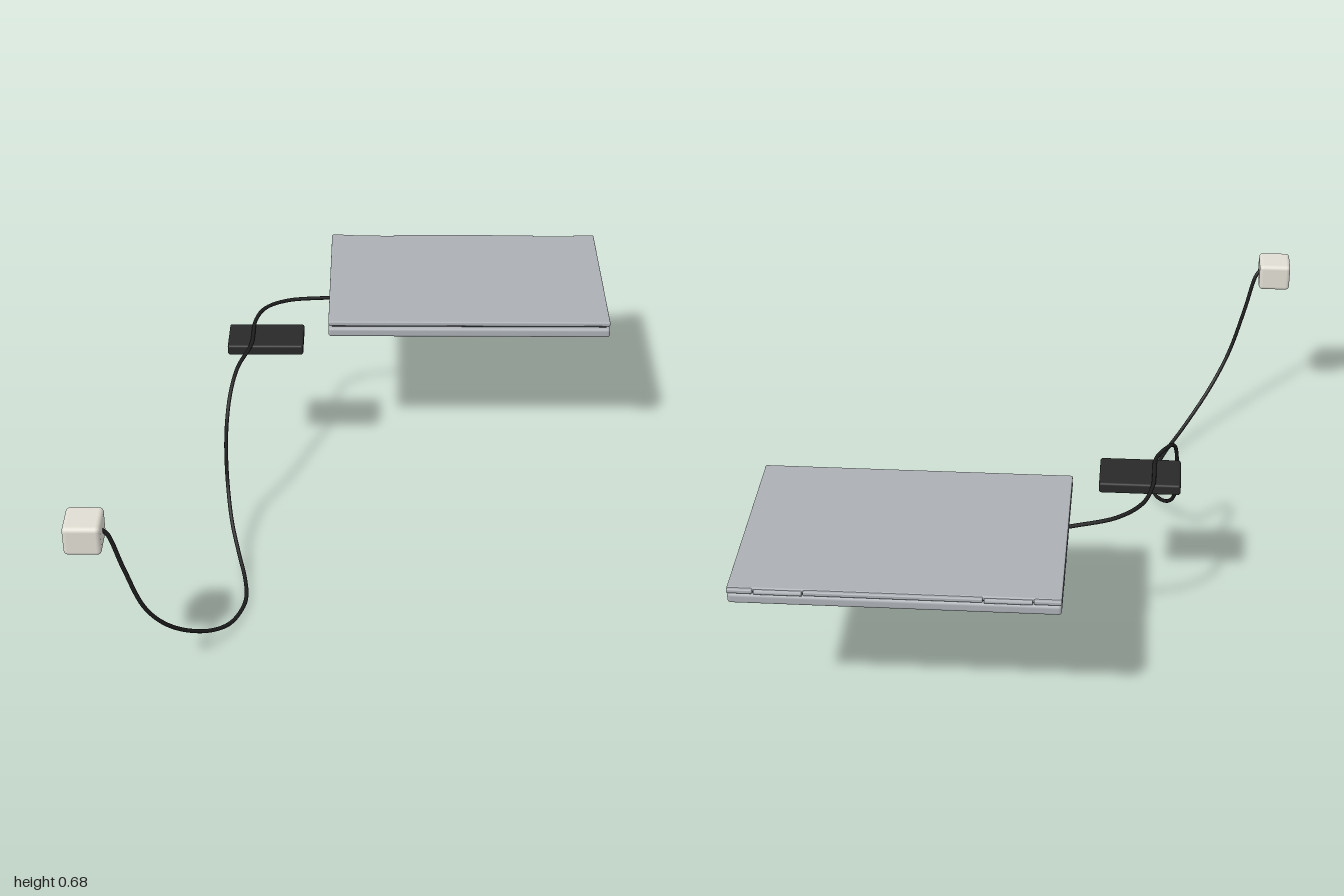
import * as THREE from 'three';
import { RoundedBoxGeometry } from 'three/addons/geometries/RoundedBoxGeometry.js';

const material = (name, color) => {
  const m = new THREE.MeshStandardMaterial({ color });
  m.name = name;
  return m;
};

export function createModel() {
  const silver = material('silver', 0xacb0b5);
  const darkGrey = material('darkGrey', 0x3a3c3f);
  const black = material('black', 0x29292a);
  const cableBlack = material('cableBlack', 0x1e1e1e);
  const ivory = material('ivory', 0xe0ddd3);

  const model = new THREE.Group();
  model.name = 'laptopWithCharger';

  // Box given by its min and max on each axis, with optional rounded edges
  const box = (parent, name, mat, [x0, x1], [y0, y1], [z0, z1], r = 0) => {
    const size = [x1 - x0, y1 - y0, z1 - z0];
    const geo = r ? new RoundedBoxGeometry(...size, 3, r) : new THREE.BoxGeometry(...size);
    const mesh = new THREE.Mesh(geo, mat);
    mesh.name = name;
    mesh.position.set((x0 + x1) / 2, (y0 + y1) / 2, (z0 + z1) / 2);
    parent.add(mesh);
  };

  // Closed laptop
  const laptop = new THREE.Group();
  laptop.name = 'laptop';
  model.add(laptop);
  box(laptop, 'base', silver, [-0.125, 0.85], [0.516, 0.55], [-0.998, -0.339], 0.01);
  box(laptop, 'keyboardDeck', darkGrey, [-0.112, 0.837], [0.549, 0.555], [-0.985, -0.355]);
  box(laptop, 'lid', silver, [-0.125, 0.85], [0.554, 0.57], [-0.99, -0.351], 0.005);

  // Back edge of the lid, interrupted by two hinges
  for (const [a, b] of [[-0.125, -0.044], [0.104, 0.626], [0.774, 0.85]])
    box(laptop, 'lidBackEdge', silver, [a, b], [0.554, 0.568], [-1, -0.985], 0.004);
  for (const x of [0.03, 0.7]) {
    const hinge = new THREE.Mesh(new THREE.CylinderGeometry(0.008, 0.008, 0.14, 12), silver);
    hinge.name = 'hinge';
    hinge.rotation.z = Math.PI / 2;
    hinge.position.set(x, 0.557, -0.991);
    laptop.add(hinge);
  }

  // Side ports
  for (const z of [-0.86, -0.75, -0.65])
    box(laptop, 'port', black, [-0.1254, -0.12], [0.529, 0.538], [z - 0.017, z + 0.017]);

  // Power brick and wall plug
  box(model, 'powerBrick', black, [-0.465, -0.208], [0.516, 0.553], [-0.367, -0.216], 0.008);
  box(model, 'wallPlug', ivory, [-0.855, -0.745], [0.58, 0.676], [0.882, 1], 0.014);

  // Hanging cable from the wall plug, over the brick, to the laptop
  const path = [
    [-0.75, 0.632, 0.94], [-0.735, 0.612, 0.933], [-0.70, 0.475, 0.915], [-0.65, 0.305, 0.89],
    [-0.585, 0.185, 0.83], [-0.49, 0.075, 0.72], [-0.425, 0.026, 0.625], [-0.39, 0.01, 0.53],
    [-0.38, 0.0065, 0.46], [-0.39, 0.015, 0.37], [-0.413, 0.048, 0.285],
    [-0.44, 0.11, 0.19], [-0.457, 0.205, 0.1], [-0.46, 0.33, 0.063],
    [-0.455, 0.42, 0.03], [-0.445, 0.485, -0.03], [-0.425, 0.532, -0.11], [-0.385, 0.555, -0.22],
    [-0.377, 0.559, -0.38], [-0.345, 0.555, -0.475], [-0.27, 0.547, -0.54], [-0.12, 0.535, -0.582],
  ].map((p) => new THREE.Vector3(...p));
  const cable = new THREE.Mesh(
    new THREE.TubeGeometry(new THREE.CatmullRomCurve3(path), 160, 0.0065, 10), cableBlack);
  cable.name = 'cable';
  model.add(cable);

  return model;
}
